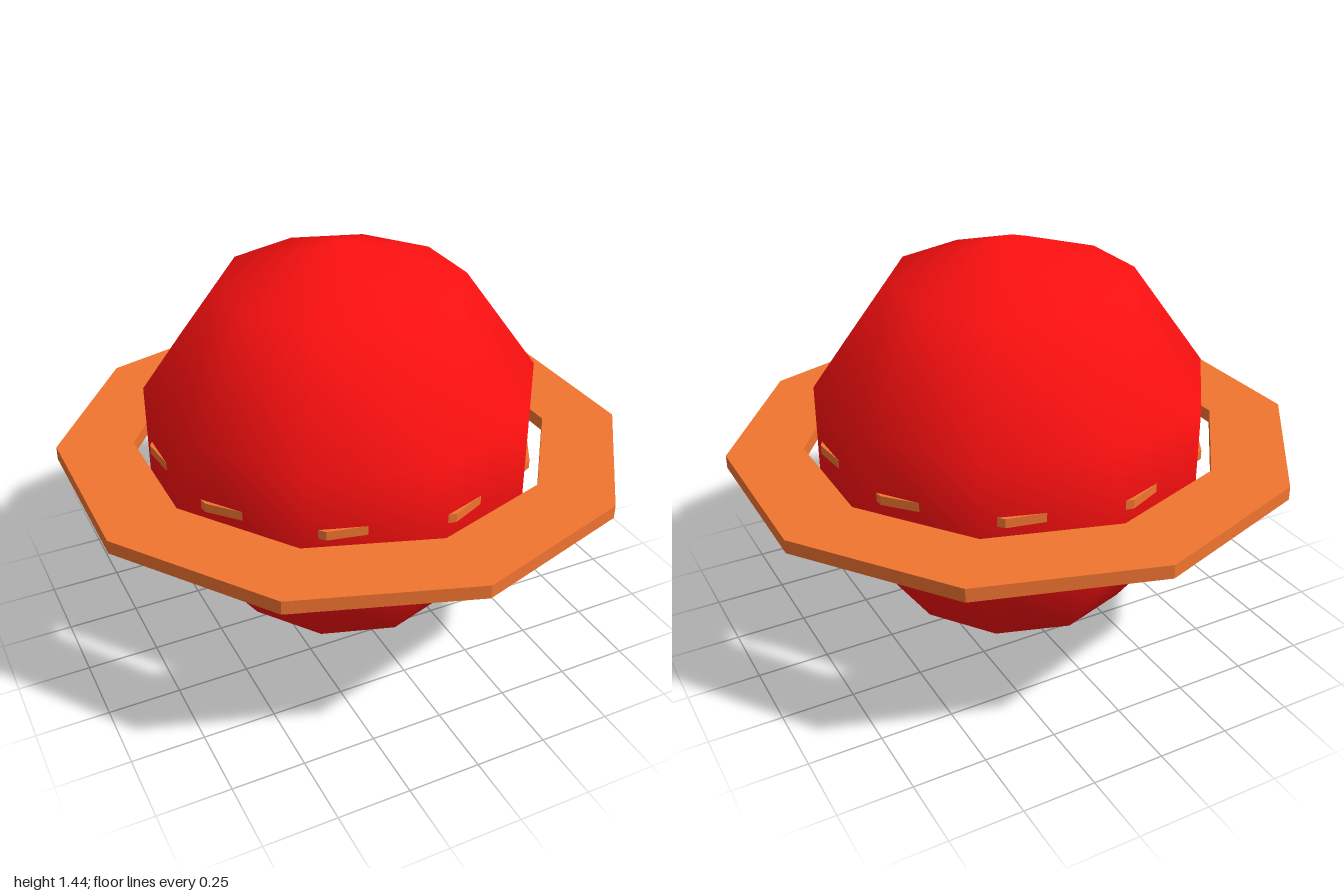
import * as THREE from 'three';

const SIDES = 10;

// Regular polygon points with a corner on the +y axis of the shape.
function polygon(radius) {
  return Array.from({ length: SIDES }, (_, i) => {
    const a = Math.PI / 2 + (i / SIDES) * Math.PI * 2;
    return new THREE.Vector2(Math.cos(a) * radius, Math.sin(a) * radius);
  });
}

// Flat ten-sided ring lying in the xz plane, centred on its own height.
function flatRing(name, outer, inner, thickness, material) {
  const shape = new THREE.Shape(polygon(outer));
  shape.holes.push(new THREE.Path(polygon(inner)));
  const geometry = new THREE.ExtrudeGeometry(shape, { depth: thickness, bevelEnabled: false });
  geometry.translate(0, 0, -thickness / 2);
  geometry.rotateX(-Math.PI / 2);
  const mesh = new THREE.Mesh(geometry, material);
  mesh.name = name;
  return mesh;
}

export function createModel() {
  const model = new THREE.Group();
  model.name = 'ringedPlanet';
  const red = new THREE.MeshStandardMaterial({ color: 0xff1010 });
  const orange = new THREE.MeshStandardMaterial({ color: 0xf27530 });

  // Low-poly globe with smooth normals
  const globe = new THREE.Mesh(new THREE.SphereGeometry(0.72, SIDES, 5), red);
  globe.name = 'globe';
  globe.rotation.y = Math.PI / 2;
  globe.position.y = 0.72;
  model.add(globe);

  // Wide outer ring, slightly tilted
  const outerRing = flatRing('outerRing', 1, 0.735, 0.047, orange);
  outerRing.position.y = 0.698;
  outerRing.rotation.z = -0.013;
  model.add(outerRing);

  // Smaller ring whose corners just break through the globe
  const innerRing = flatRing('innerRing', 0.68, 0.5, 0.032, orange);
  innerRing.position.y = 0.74;
  innerRing.rotation.y = THREE.MathUtils.degToRad(6);
  model.add(innerRing);

  return model;
}
